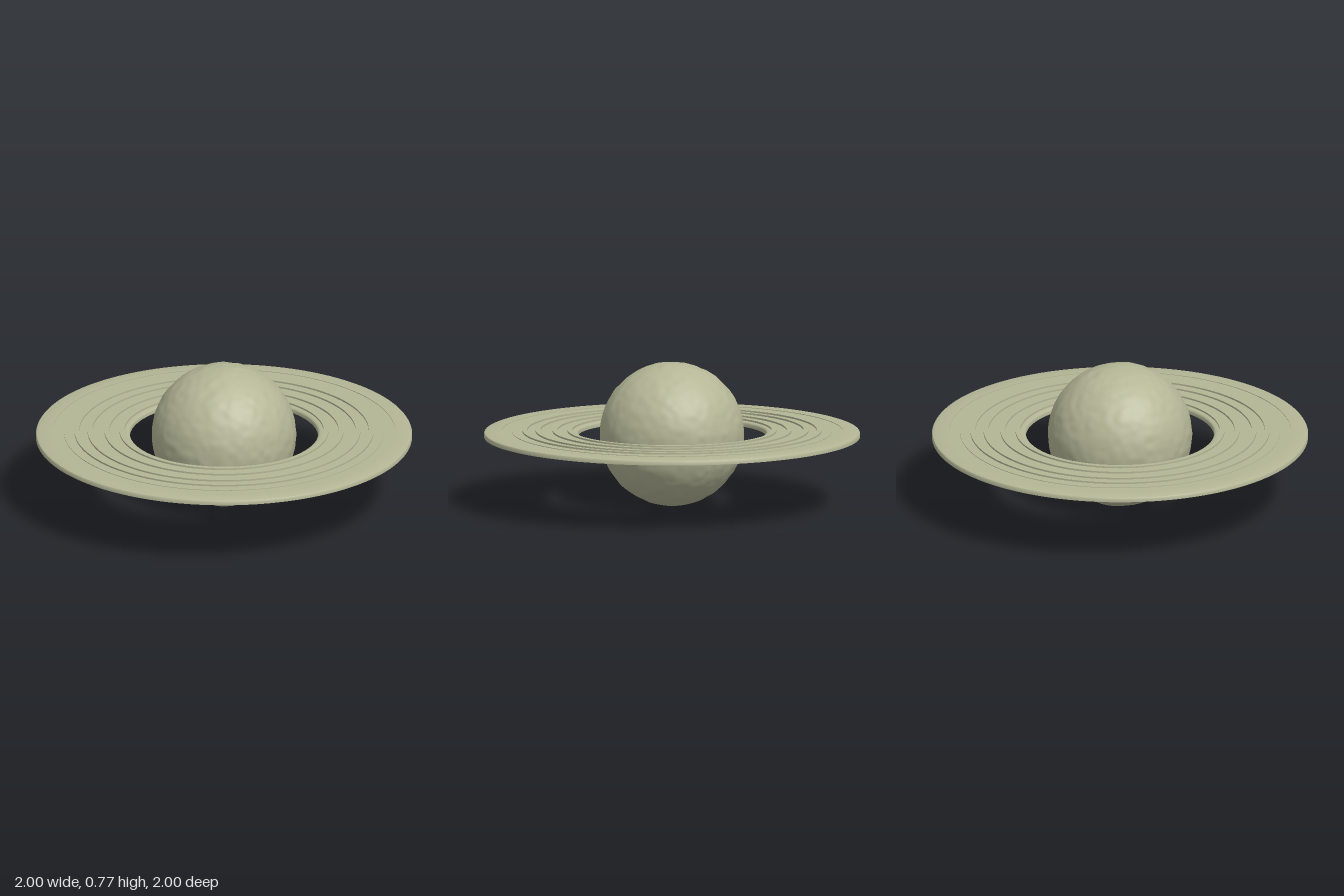
import * as THREE from 'three';
import { mergeVertices, toCreasedNormals } from 'three/addons/utils/BufferGeometryUtils.js';

const CENTRE_Y = 0.386;
const RADIUS = 0.383;

// Repeatable hash and smooth lattice noise in 0..1
function hash(x, y, z) {
  const s = Math.sin(x * 127.1 + y * 311.7 + z * 74.7) * 43758.5453;
  return s - Math.floor(s);
}
function noise(x, y, z) {
  const i = Math.floor(x), j = Math.floor(y), k = Math.floor(z);
  const ease = t => t * t * (3 - 2 * t);
  const u = ease(x - i), v = ease(y - j), w = ease(z - k);
  let sum = 0;
  for (let a = 0; a < 2; a++)
    for (let b = 0; b < 2; b++)
      for (let c = 0; c < 2; c++)
        sum += hash(i + a, j + b, k + c) * (a ? u : 1 - u) * (b ? v : 1 - v) * (c ? w : 1 - w);
  return sum;
}

// Globe with a faintly uneven surface
function globeGeometry() {
  let geo = new THREE.IcosahedronGeometry(1, 40);
  geo.deleteAttribute('uv');
  geo.deleteAttribute('normal');
  geo = mergeVertices(geo, 1e-4);
  const pos = geo.attributes.position;
  const p = new THREE.Vector3();
  for (let i = 0; i < pos.count; i++) {
    p.fromBufferAttribute(pos, i).normalize();
    const bump = noise(p.x * 10 + 50, p.y * 10 + 50, p.z * 10 + 50) - 0.5;
    p.multiplyScalar(RADIUS + 0.005 * bump);
    pos.setXYZ(i, p.x, p.y, p.z);
  }
  geo.computeVertexNormals();
  return geo;
}

// Flat ring: level underside, bevelled rims, raised bands and one shallow groove on top
function ringGeometry() {
  const bottom = 0.372, top = 0.399;
  const steps = [ // inner radius, outer radius, height of the band
    [0.85, 0.91, 0.396],
    [0.77, 0.795, 0.408],
    [0.70, 0.725, 0.408],
    [0.61, 0.635, 0.408],
    [0.53, 0.555, 0.408],
  ];
  const profile = [[0.5, bottom], [1, bottom], [1, 0.389], [0.996, 0.395], [0.985, top]];
  for (const [inner, outer, y] of steps)
    profile.push([outer, top], [outer, y], [inner, y], [inner, top]);
  profile.push([0.51, top], [0.503, 0.395], [0.5, 0.389], [0.5, bottom]);
  const lathe = new THREE.LatheGeometry(profile.map(([r, y]) => new THREE.Vector2(r, y)), 160);
  return toCreasedNormals(lathe, 0.6);
}

export function createModel() {
  const group = new THREE.Group();
  group.name = 'ringedPlanet';
  const material = new THREE.MeshStandardMaterial({ color: 0xb4b696 });

  const globe = new THREE.Mesh(globeGeometry(), material);
  globe.name = 'globe';
  globe.position.y = CENTRE_Y;

  const ring = new THREE.Mesh(ringGeometry(), material);
  ring.name = 'ring';

  group.add(globe, ring);
  return group;
}
